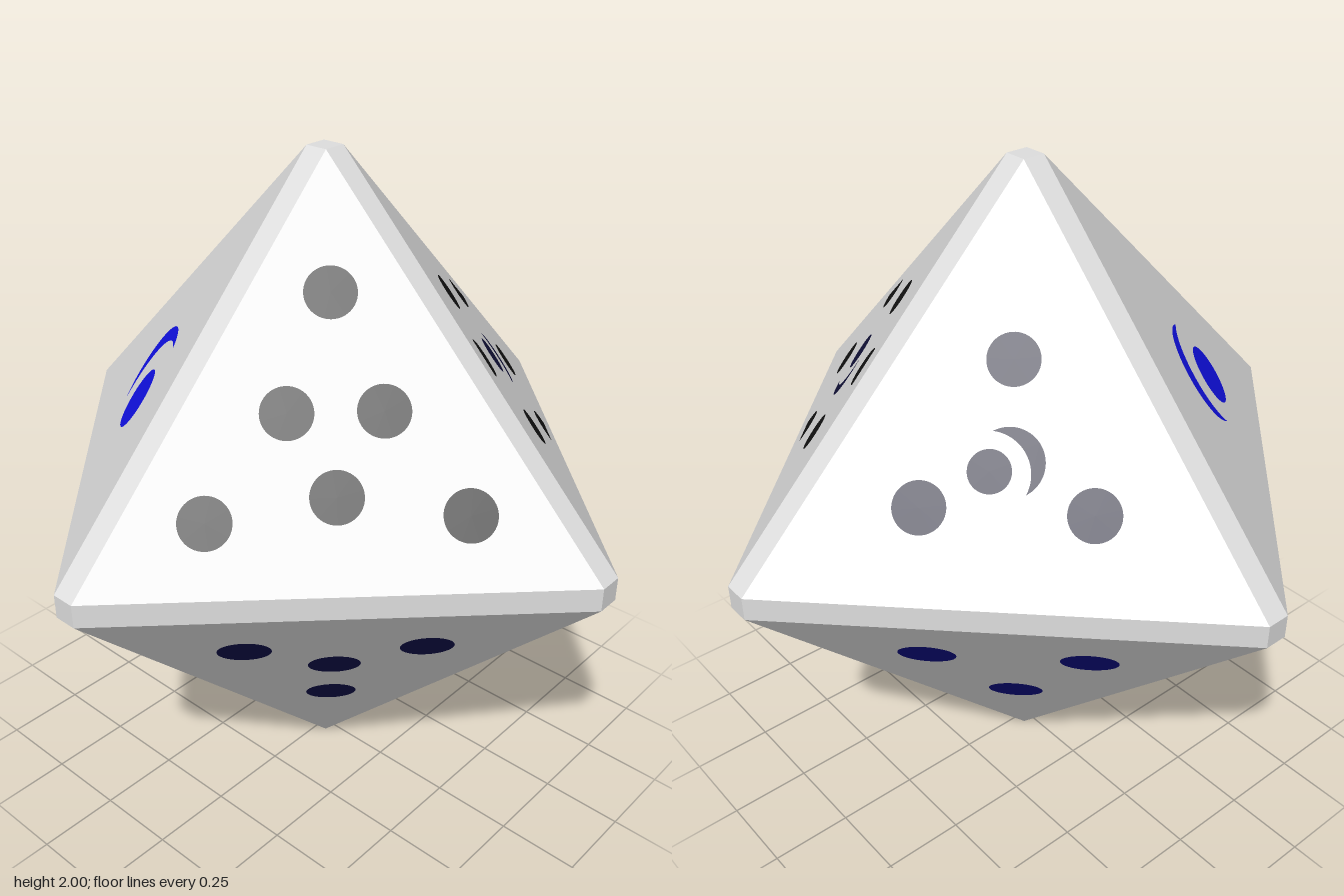
import * as THREE from 'three';
import { ConvexGeometry } from 'three/addons/geometries/ConvexGeometry.js';

const paint = (name, color) => {
  const m = new THREE.MeshStandardMaterial({ color });
  m.name = name;
  return m;
};

const BEVEL = 0.035;           // half width of the flattened edges
const SUM = 1 + 2 * BEVEL;     // |x| + |y| + |z| on every big face
const LIFT = 0.003;            // height of painted marks above the face

// Bevelled octahedron: hull of a small square at each of the six tips
function bodyGeometry() {
  const points = [];
  for (let axis = 0; axis < 3; axis++)
    for (const s of [-1, 1])
      for (const a of [-BEVEL, BEVEL])
        for (const b of [-BEVEL, BEVEL]) {
          const p = [0, 0, 0];
          p[axis] = s;
          p[(axis + 1) % 3] = a;
          p[(axis + 2) % 3] = b;
          points.push(new THREE.Vector3(...p));
        }
  return new ConvexGeometry(points);
}

// Disc with its top cut straight at height h
function cutDisc(r, h) {
  const a = Math.asin(h / r);
  const shape = new THREE.Shape();
  shape.absarc(0, 0, r, Math.PI - a, Math.PI * 2 + a, false);
  shape.closePath();
  return new THREE.ShapeGeometry(shape, 32);
}

// Crescent bulging towards +y: outer half circle, flatter inner arc
function crescent(r, thickness) {
  const sag = r - thickness;
  const R = (r * r + sag * sag) / (2 * sag);
  const a = Math.asin((R - sag) / R);
  const shape = new THREE.Shape();
  shape.absarc(0, 0, r, 0, Math.PI, false);
  shape.absarc(0, sag - R, R, Math.PI - a, a, true);
  return new THREE.ShapeGeometry(shape, 32);
}

export function createModel() {
  const model = new THREE.Group();
  const ivory = paint('light grey body', 0xdedede);
  const black = paint('black', 0x111111);
  const navy = paint('dark navy', 0x101038);
  const midnight = paint('midnight blue', 0x0e0e4a);
  const deepBlue = paint('deep blue', 0x0a0a80);
  const blue = paint('bright blue', 0x1010e8);
  const red = paint('red', 0xe01010);

  const die = new THREE.Group();
  die.name = 'die';
  die.position.y = 1;
  model.add(die);

  const body = new THREE.Mesh(bodyGeometry(), ivory);
  body.name = 'bevelledBody';
  die.add(body);

  // A face is given by its signs; marks sit at absolute (x, z) on it,
  // with their local +y along the in-plane direction "up"
  function face(name, sx, sy, sz) {
    const group = new THREE.Group();
    group.name = name;
    die.add(group);
    const signs = new THREE.Vector3(sx, sy, sz);
    const normal = signs.clone().normalize();
    return (label, geometry, material, x, z, up = [-1, 2, -1]) => {
      const mesh = new THREE.Mesh(geometry, material);
      mesh.name = label;
      const yAxis = new THREE.Vector3(...up).multiply(signs).normalize();
      const xAxis = yAxis.clone().cross(normal);
      mesh.quaternion.setFromRotationMatrix(new THREE.Matrix4().makeBasis(xAxis, yAxis, normal));
      mesh.position.set(x, SUM - x - z, z).multiply(signs).addScaledVector(normal, LIFT);
      group.add(mesh);
    };
  }
  const disc = (r) => new THREE.CircleGeometry(r, 48);
  const pips = (add, r, material, spots) => {
    const geometry = disc(r);
    for (const [x, z] of spots) add('pip', geometry, material, x, z);
  };
  const corners = [[0.25, 0.25], [0.25, 0.573], [0.573, 0.25]];
  const awayFromZ = [1, 1, -2];
  const towardsZ = [-1, -1, 2];

  // Upper front left: six pips
  pips(face('sixFace', 1, 1, 1), 0.072, black,
    [[0.193, 0.193], [0.235, 0.41], [0.415, 0.23], [0.195, 0.678], [0.413, 0.413], [0.68, 0.192]]);

  // Upper front right: large dot under a crescent
  const moon = face('moonFace', -1, 1, 1);
  moon('dot', disc(0.095), blue, 0.31, 0.455);
  moon('crescent', crescent(0.16, 0.06), blue, 0.338, 0.384, awayFromZ);

  // Lower front right: one big red disc
  face('redFace', -1, -1, 1)('bigDisc', disc(0.183), red, 0.356, 0.357);

  // Lower front left: four pips
  pips(face('fourFace', 1, -1, 1), 0.076, midnight,
    [[0.238, 0.597], [0.595, 0.238], [0.357, 0.357], [0.24, 0.24]]);

  // Lower back left: seven pips
  pips(face('sevenFace', 1, -1, -1), 0.056, black,
    [[0.68, 0.195], [0.44, 0.438], [0.195, 0.68], [0.357, 0.355], [0.435, 0.195], [0.192, 0.438], [0.195, 0.195]]);

  // Lower back right: three pips
  pips(face('threeFace', -1, -1, -1), 0.083, deepBlue, corners);

  // Upper back right: three pips around a dot and crescent
  const three = face('threeMoonFace', -1, 1, -1);
  pips(three, 0.072, navy, corners);
  three('dot', disc(0.059), navy, 0.335, 0.405);
  three('crescent', crescent(0.094, 0.045), navy, 0.361, 0.359, awayFromZ);

  // Upper back left: ring of six pips, three cut along the edges
  const six = face('sixMoonFace', 1, 1, -1);
  pips(six, 0.058, black, corners);
  const cut = cutDisc(0.06, 0.018);
  six('cutPip', cut, black, 0.474, 0.122, [1, 1, -2]);
  six('cutPip', cut, black, 0.474, 0.474, [1, -2, 1]);
  six('cutPip', cut, black, 0.122, 0.474, [-2, 1, 1]);
  six('dot', disc(0.058), navy, 0.362, 0.328);
  six('crescent', crescent(0.086, 0.04), navy, 0.34, 0.385, towardsZ);

  return model;
}
